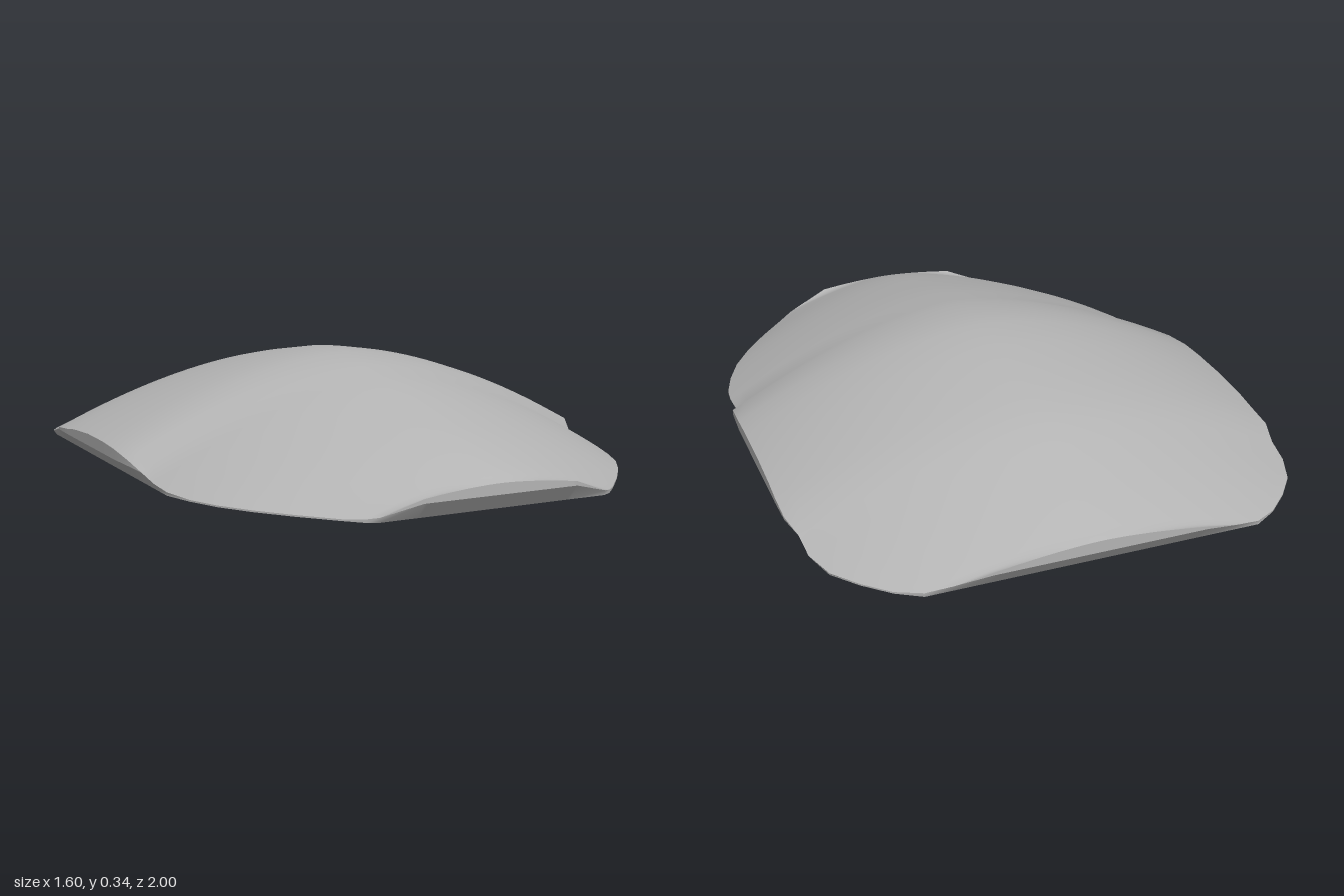
import * as THREE from 'three';

const shellGrey = new THREE.MeshStandardMaterial({ color: 0xb4b4b4 });
shellGrey.name = 'shell grey';

// Cross-sections from front to back: z, half width, crown height, rim height
const SECTIONS = [
  [1.0, 0.25, 0.08, 0.06], [0.97, 0.37, 0.093, 0.015], [0.95, 0.4, 0.102, 0.01],
  [0.9, 0.45, 0.122, 0.005], [0.8, 0.54, 0.158, 0.005], [0.7, 0.62, 0.187, 0.005],
  [0.6, 0.685, 0.215, 0.005], [0.5, 0.73, 0.242, 0.005], [0.4, 0.76, 0.268, 0.01],
  [0.32, 0.77, 0.285, 0.02], [0.22, 0.772, 0.306, 0.035], [0.16, 0.795, 0.318, 0.065],
  [0.05, 0.8, 0.332, 0.08], [-0.05, 0.8, 0.335, 0.085], [-0.2, 0.8, 0.324, 0.085],
  [-0.35, 0.8, 0.3, 0.075], [-0.42, 0.8, 0.289, 0.065], [-0.52, 0.798, 0.27, 0.055],
  [-0.6, 0.776, 0.248, 0.035], [-0.68, 0.77, 0.22, 0.015], [-0.77, 0.735, 0.185, 0.005],
  [-0.85, 0.67, 0.152, 0.005], [-0.92, 0.595, 0.122, 0.005], [-0.965, 0.52, 0.1, 0.012],
  [-0.98, 0.44, 0.094, 0.025], [-1.0, 0.33, 0.085, 0.055],
];
const COLS = 40;

function makeMesh(name, points, index) {
  const geometry = new THREE.BufferGeometry().setFromPoints(points);
  geometry.setIndex(index);
  geometry.computeVertexNormals();
  const mesh = new THREE.Mesh(geometry, shellGrey);
  mesh.name = name;
  return mesh;
}

export function createModel() {
  const group = new THREE.Group();
  group.name = 'domedShell';

  // Domed top: each section falls from its crown to its rim
  const top = [], topIndex = [];
  const stride = COLS + 1, last = SECTIONS.length - 1;
  for (const [z, w, crown, rim] of SECTIONS) {
    for (let j = 0; j <= COLS; j++) {
      const u = (2 * j) / COLS - 1;
      top.push(new THREE.Vector3(u * w, crown - (crown - rim) * Math.abs(u) ** 1.7, z));
    }
  }
  for (let i = 0; i < last; i++) {
    for (let j = 0; j < COLS; j++) {
      const a = i * stride + j, c = a + stride;
      topIndex.push(a, a + 1, c + 1, a, c + 1, c);
    }
  }
  group.add(makeMesh('domedTop', top, topIndex));

  // Rim loop, counterclockwise from above
  const rim = [];
  for (let j = 0; j < COLS; j++) rim.push(top[j]);
  for (let i = 0; i < last; i++) rim.push(top[i * stride + COLS]);
  for (let j = COLS; j > 0; j--) rim.push(top[last * stride + j]);
  for (let i = last; i > 0; i--) rim.push(top[i * stride]);

  // Narrow vertical edge, then an undercut to the smaller base
  const lip = rim.map((p) => new THREE.Vector3(p.x, Math.min(p.y, 0.047), p.z));
  const base = rim.map((p) => new THREE.Vector3(
    THREE.MathUtils.clamp(p.x, -0.76, 0.76), 0, THREE.MathUtils.clamp(p.z, -0.965, 0.965)));
  const n = rim.length;
  const addBand = (name, upper, lower) => {
    const index = [];
    for (let i = 0; i < n; i++) {
      const k = (i + 1) % n;
      index.push(i, n + i, k, k, n + i, n + k);
    }
    group.add(makeMesh(name, [...upper, ...lower], index));
  };
  addBand('rimEdge', rim, lip);
  addBand('undercut', lip, base);

  // Flat underside
  const baseIndex = [];
  for (let i = 0; i < n; i++) baseIndex.push(n, (i + 1) % n, i);
  group.add(makeMesh('underside', [...base, new THREE.Vector3(0, 0, 0)], baseIndex));

  return group;
}
